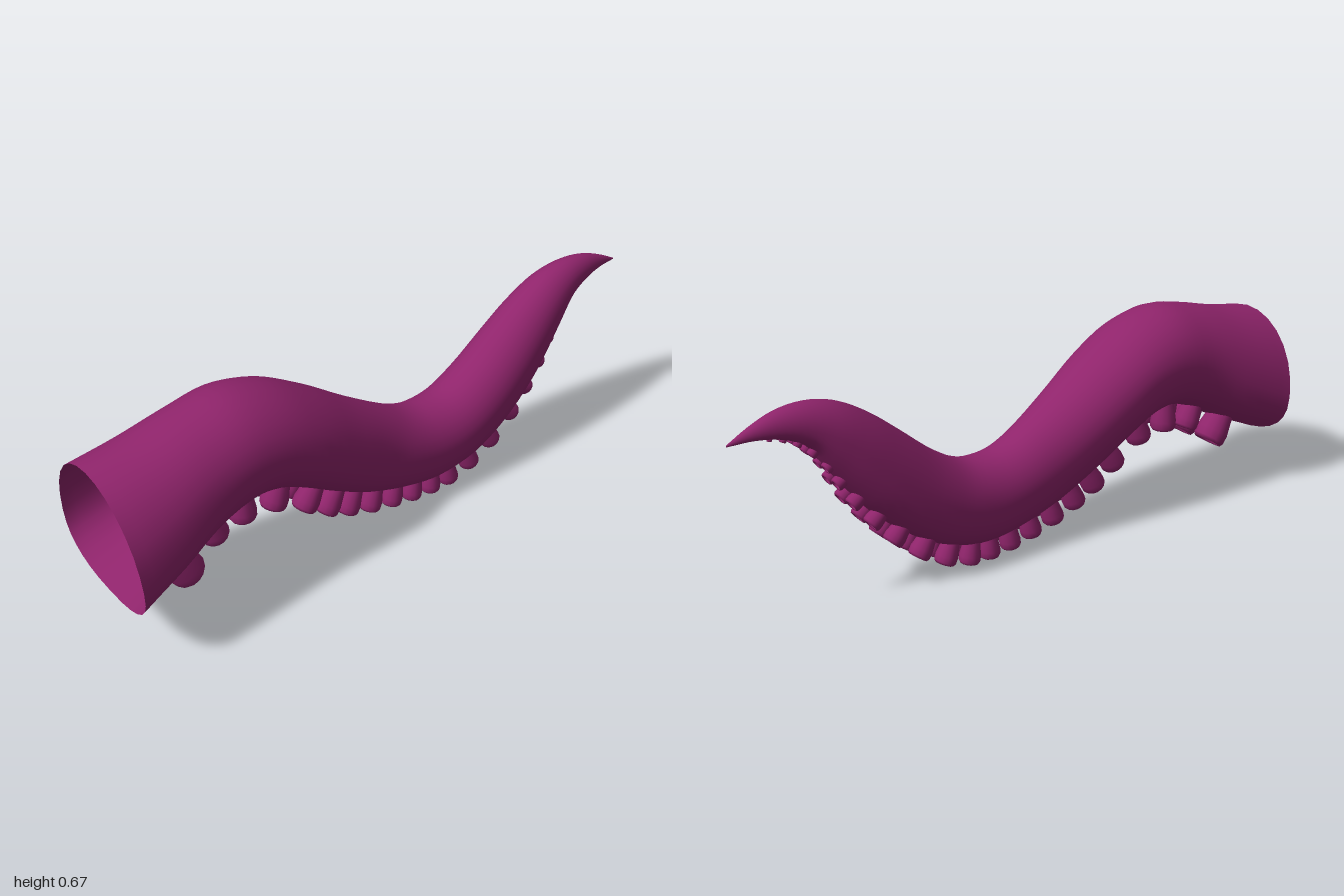
import * as THREE from 'three';

const skin = new THREE.MeshStandardMaterial({ color: 0x8f246b, side: THREE.DoubleSide });
skin.name = 'purple skin';

// Arm sections: top x, top y, bottom x, bottom y, half width, height share of the widest line
const SECTIONS = [
  [-1.00, 0.600, -0.98, 0.172, 0.230, 0.36],
  [-0.85, 0.625, -0.82, 0.240, 0.205, 0.40],
  [-0.70, 0.660, -0.68, 0.310, 0.180, 0.45],
  [-0.56, 0.680, -0.56, 0.345, 0.174, 0.48],
  [-0.42, 0.648, -0.47, 0.335, 0.170, 0.50],
  [-0.28, 0.573, -0.37, 0.285, 0.163, 0.50],
  [-0.13, 0.470, -0.24, 0.202, 0.143, 0.50],
  [0.00, 0.390, -0.10, 0.125, 0.123, 0.50],
  [0.08, 0.350, 0.04, 0.080, 0.118, 0.50],
  [0.15, 0.335, 0.18, 0.060, 0.118, 0.50],
  [0.24, 0.343, 0.32, 0.088, 0.121, 0.50],
  [0.34, 0.395, 0.45, 0.160, 0.119, 0.50],
  [0.46, 0.490, 0.57, 0.263, 0.110, 0.50],
  [0.56, 0.567, 0.65, 0.360, 0.097, 0.50],
  [0.66, 0.623, 0.71, 0.440, 0.080, 0.50],
  [0.76, 0.645, 0.765, 0.515, 0.060, 0.45],
  [0.85, 0.638, 0.84, 0.555, 0.041, 0.40],
  [0.93, 0.610, 0.92, 0.570, 0.021, 0.40],
  [1.00, 0.575, 1.00, 0.570, 0.002, 0.40],
];

// Smooth loft through the sections, open at the thick end
function armGeometry(rings = 72, sides = 28) {
  const curve = (f) => new THREE.CatmullRomCurve3(SECTIONS.map(f));
  const tops = curve((s) => new THREE.Vector3(s[0], s[1], 0));
  const bottoms = curve((s) => new THREE.Vector3(s[2], s[3], 0));
  const shape = curve((s, i) => new THREE.Vector3(s[4], s[5], i * 0.1));
  const positions = [], index = [];
  for (let i = 0; i <= rings; i++) {
    const t = i / rings;
    const top = tops.getPoint(t), bottom = bottoms.getPoint(t), { x: width, y: mid } = shape.getPoint(t);
    for (let j = 0; j < sides; j++) {
      const a = (j / sides) * Math.PI * 2, c = Math.cos(a), s = Math.sin(a);
      // rounded above, squarer on the underside
      const e = s < 0 ? 0.8 : 1;
      const z = width * Math.sign(c) * Math.abs(c) ** e;
      const h = s < 0 ? mid - mid * Math.abs(s) ** e : mid + (1 - mid) * s;
      const p = bottom.clone().lerp(top, h);
      positions.push(p.x, p.y, z);
      if (i < rings) {
        const k = i * sides + j, n = i * sides + ((j + 1) % sides);
        index.push(k, k + sides, n, n, k + sides, n + sides);
      }
    }
  }
  const g = new THREE.BufferGeometry();
  g.setAttribute('position', new THREE.Float32BufferAttribute(positions, 3));
  g.setIndex(index);
  g.computeVertexNormals();
  return g;
}

// Sucker pairs: rim centre x, y, diameter, distance from the middle
const SUCKERS = [
  [-0.760, 0.172, 0.115, 0.070], [-0.655, 0.243, 0.090, 0.056], [-0.560, 0.260, 0.088, 0.050],
  [-0.455, 0.247, 0.088, 0.047], [-0.345, 0.183, 0.086, 0.046], [-0.262, 0.128, 0.082, 0.045],
  [-0.180, 0.088, 0.078, 0.044], [-0.090, 0.056, 0.076, 0.043], [0.000, 0.033, 0.072, 0.042],
  [0.085, 0.017, 0.070, 0.042], [0.167, 0.008, 0.069, 0.041], [0.247, 0.010, 0.070, 0.041],
  [0.340, 0.036, 0.072, 0.041], [0.435, 0.087, 0.072, 0.040], [0.525, 0.160, 0.068, 0.038],
  [0.592, 0.235, 0.060, 0.034], [0.650, 0.312, 0.052, 0.030], [0.693, 0.385, 0.044, 0.026],
  [0.722, 0.440, 0.038, 0.023], [0.763, 0.490, 0.032, 0.019], [0.803, 0.527, 0.026, 0.016],
  [0.842, 0.549, 0.021, 0.013], [0.880, 0.560, 0.016, 0.010],
];

// Hollow cup of diameter 1 whose rim lies at y = 0 and opens toward +y
const cupGeometry = new THREE.LatheGeometry(
  [[0.36, -1.15], [0.42, -0.75], [0.49, -0.35], [0.48, -0.1], [0.42, 0], [0.33, -0.02], [0.27, -0.15], [0.2, -0.36], [0, -0.42]]
    .map(([r, y]) => new THREE.Vector2(r, y)), 14);

export function createModel() {
  const model = new THREE.Group();
  model.name = 'tentacle';

  const arm = new THREE.Mesh(armGeometry(), skin);
  arm.name = 'arm';
  model.add(arm);

  // Two mirrored rows of suckers, each facing away from the underside
  const suckers = new THREE.Group();
  suckers.name = 'suckers';
  const up = new THREE.Vector3(0, 1, 0);
  SUCKERS.forEach(([x, y, d, offset], i) => {
    const a = SUCKERS[Math.max(i - 1, 0)], b = SUCKERS[Math.min(i + 1, SUCKERS.length - 1)];
    const outward = new THREE.Vector3(b[1] - a[1], a[0] - b[0], 0).normalize();
    for (const side of [1, -1]) {
      const cup = new THREE.Mesh(cupGeometry, skin);
      cup.name = side > 0 ? 'frontSucker' : 'backSucker';
      cup.position.set(x, y, side * offset);
      cup.quaternion.setFromUnitVectors(up, outward);
      cup.scale.setScalar(d);
      suckers.add(cup);
    }
  });
  model.add(suckers);
  return model;
}
